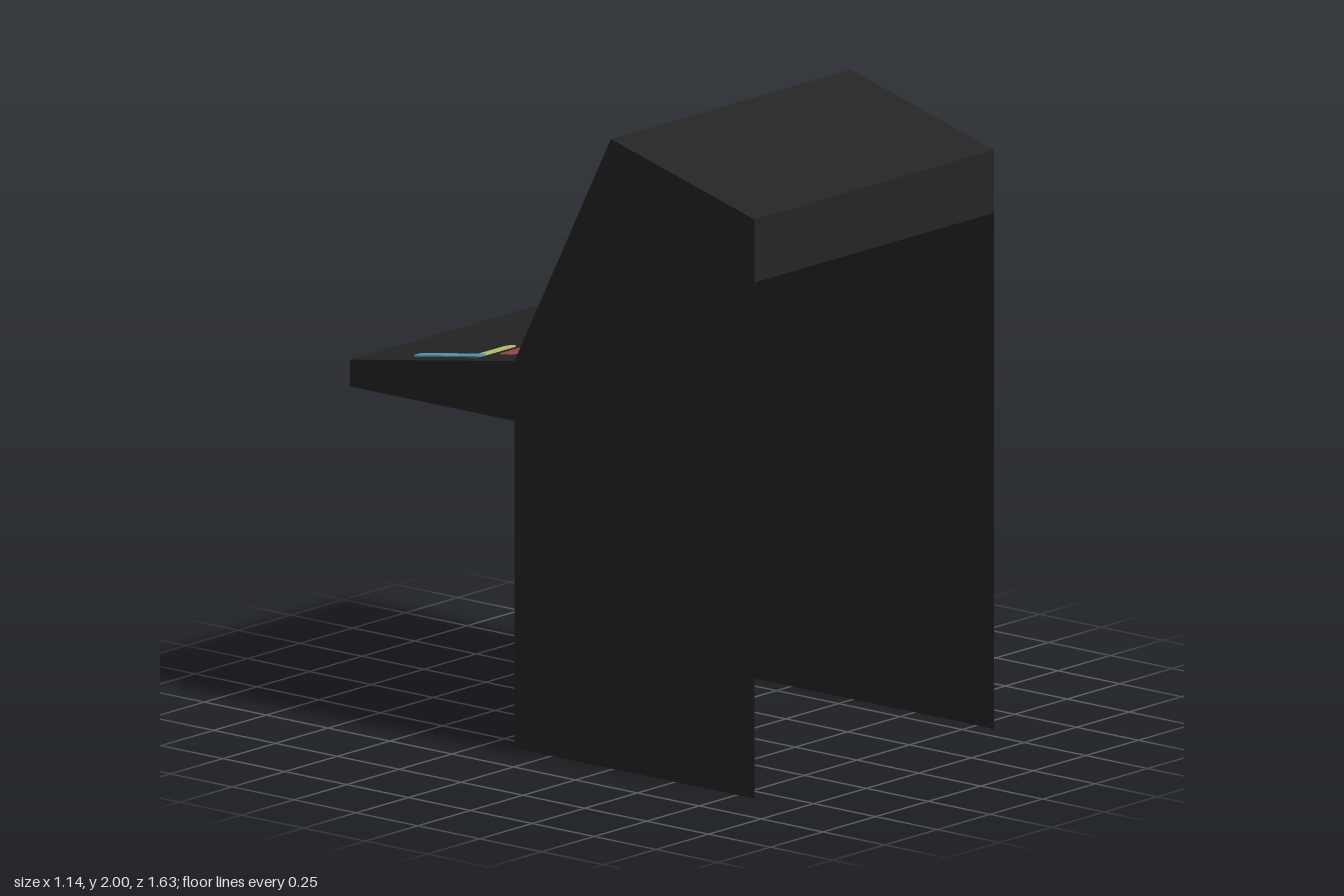
import * as THREE from 'three';

export function createModel() {
  const model = new THREE.Group();
  const mat = (name, color, side = THREE.FrontSide) => {
    const m = new THREE.MeshStandardMaterial({ color, side });
    m.name = name;
    return m;
  };
  const black = mat('cabinetBlack', 0x242424, THREE.DoubleSide);
  const blue = mat('markingBlue', 0x5696ae);
  const yellow = mat('markingYellow', 0xc2c06e);
  const red = mat('markingRed', 0x984848);

  const WIDTH = 1.14;

  // Cabinet side profile as [z, y], running over the top to the base
  const profile = [
    [0.82, 1.84], [0.24, 2], [-0.15, 1.23], [-0.815, 1.125],
    [-0.815, 1.04], [-0.15, 1.04], [-0.15, 0],
  ];

  // Side walls
  for (const s of [1, -1]) {
    const outline = [[0.82, 0], ...profile].map(([z, y]) => new THREE.Vector2(-s * z, y));
    const wall = new THREE.Mesh(new THREE.ShapeGeometry(new THREE.Shape(outline)), black);
    wall.name = s > 0 ? 'leftWall' : 'rightWall';
    wall.rotation.y = s * Math.PI / 2;
    wall.position.x = s * WIDTH / 2;
    model.add(wall);
  }

  // Flat sheet spanning the walls between two profile points
  function addPanel(name, [z0, y0], [z1, y1]) {
    const length = Math.hypot(z1 - z0, y1 - y0);
    const panel = new THREE.Mesh(new THREE.PlaneGeometry(WIDTH, length), black);
    panel.name = name;
    panel.position.set(0, (y0 + y1) / 2, (z0 + z1) / 2);
    panel.rotation.x = Math.atan2(z1 - z0, y1 - y0);
    panel.userData.stretch = length / (z1 - z0);
    model.add(panel);
    return panel;
  }

  // Open shell: no floor, and only a fascia at the top of the open side
  addPanel('fascia', [0.82, 1.64], profile[0]);
  const [, screen, deck] = ['roof', 'screenPanel', 'controlDeck', 'deckLip', 'deckUnderside', 'lowerPanel']
    .map((name, i) => addPanel(name, profile[i], profile[i + 1]));

  // Thin rounded marking, set through a panel so it shows on both faces
  function addMarking(panel, name, material, x0, x1, z0, z1, depth = 0.006) {
    const k = panel.userData.stretch;
    const w = (x1 - x0) / 2, h = Math.abs((z1 - z0) * k) / 2;
    const r = Math.min(w, h) * 0.7;
    const shape = new THREE.Shape();
    shape.absarc(w - r, h - r, r, 0, Math.PI / 2);
    shape.absarc(r - w, h - r, r, Math.PI / 2, Math.PI);
    shape.absarc(r - w, r - h, r, Math.PI, Math.PI * 1.5);
    shape.absarc(w - r, r - h, r, Math.PI * 1.5, Math.PI * 2);
    const geometry = new THREE.ExtrudeGeometry(shape, { depth, bevelEnabled: false, curveSegments: 5 });
    geometry.translate(0, 0, -depth / 2);
    const marking = new THREE.Mesh(geometry, material);
    marking.name = name;
    marking.position.set((x0 + x1) / 2, ((z0 + z1) / 2 - panel.position.z) * k, 0);
    panel.add(marking);
  }

  // Deck markings
  addMarking(deck, 'longBlueStrip', blue, -0.165, 0.435, -0.295, -0.24);
  addMarking(deck, 'redButton', red, -0.475, -0.335, -0.30, -0.24);
  addMarking(deck, 'yellowButton', yellow, -0.50, -0.332, -0.38, -0.338);
  addMarking(deck, 'sideBlueStrip', blue, -0.515, -0.473, -0.61, -0.338, 0.008);

  // Row of three markings near the top of the screen panel
  addMarking(screen, 'yellowLight', yellow, -0.515, -0.44, 0.19, 0.21, 0.004);
  addMarking(screen, 'blueLight', blue, -0.457, -0.385, 0.19, 0.21, 0.006);
  addMarking(screen, 'redLight', red, -0.40, -0.282, 0.19, 0.21, 0.008);

  return model;
}
